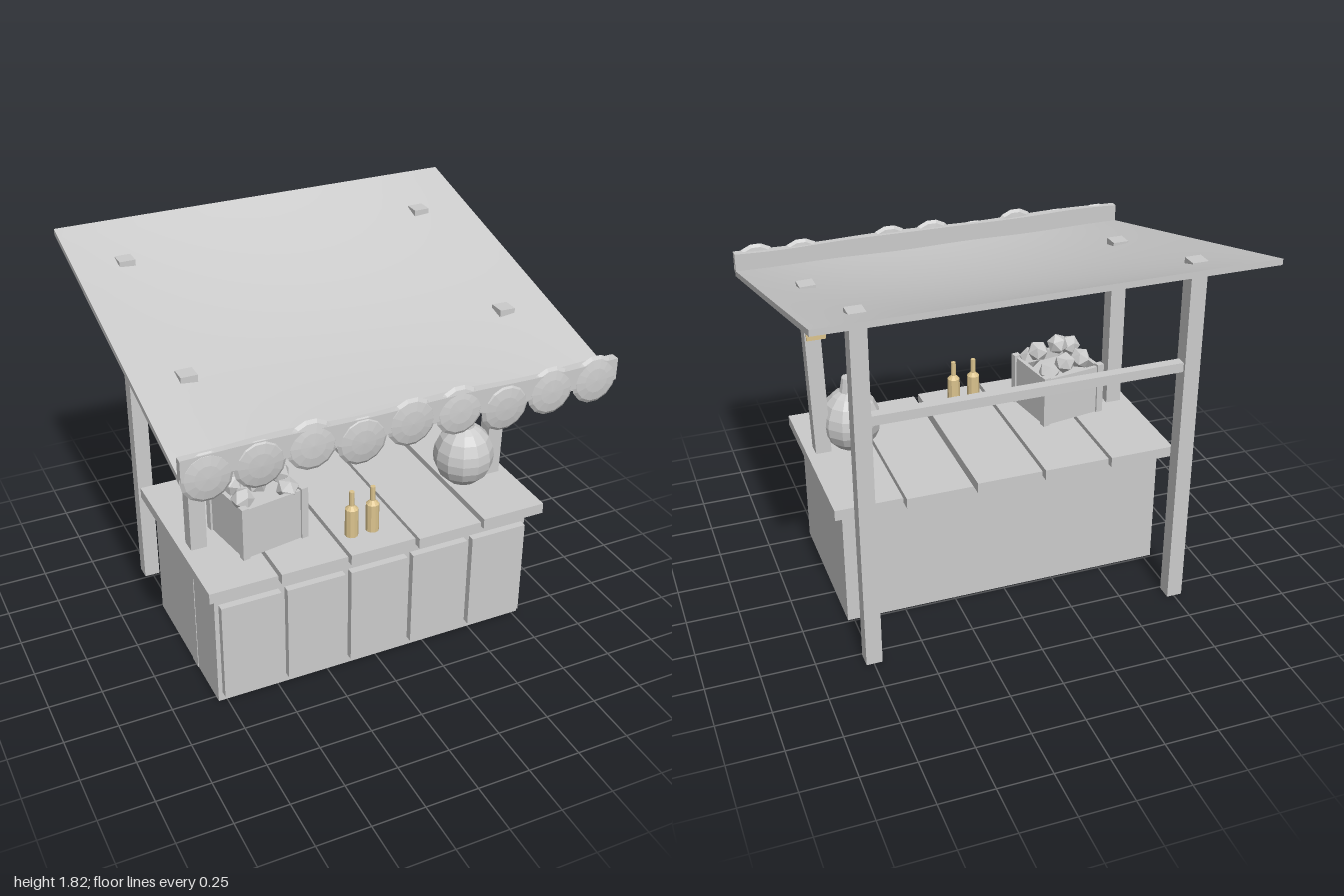
import * as THREE from 'three';

const grey = new THREE.MeshStandardMaterial({ color: 0xcccccc });
const greyFlat = new THREE.MeshStandardMaterial({ color: 0xcccccc, flatShading: true });
const tan = new THREE.MeshStandardMaterial({ color: 0xdcc48e, flatShading: true });

function add(parent, name, geometry, material, x = 0, y = 0, z = 0) {
  const mesh = new THREE.Mesh(geometry, material);
  mesh.name = name;
  mesh.position.set(x, y, z);
  parent.add(mesh);
  return mesh;
}

// Box given by its minimum and maximum corners
function slab(parent, name, [x0, y0, z0], [x1, y1, z1], material = grey) {
  return add(parent, name, new THREE.BoxGeometry(x1 - x0, y1 - y0, z1 - z0), material,
    (x0 + x1) / 2, (y0 + y1) / 2, (z0 + z1) / 2);
}

// Move each vertex of a geometry by a rule
function deform(geometry, rule) {
  const p = geometry.attributes.position;
  const v = new THREE.Vector3();
  for (let i = 0; i < p.count; i++) {
    rule(v.fromBufferAttribute(p, i));
    p.setXYZ(i, v.x, v.y, v.z);
  }
  geometry.computeVertexNormals();
  return geometry;
}

function buildCounter(parent) {
  const counter = new THREE.Group();
  counter.name = 'counter';
  parent.add(counter);
  slab(counter, 'counterBody', [-0.79, 0, -0.24], [0.78, 0.61, 0.535]);
  const plankStarts = [-0.835, -0.5, -0.165, 0.175, 0.51];
  const plankDrop = [0, 0, 0, 0.01, 0];
  for (let i = 0; i < 5; i++) {
    const x = -0.77 + i * 0.3125;
    slab(counter, 'frontPanel', [x, 0.045, 0.53], [x + 0.283, 0.538, 0.57]);
    const s = plankStarts[i], d = plankDrop[i];
    slab(counter, 'counterPlank', [s, 0.613 - d, -0.31], [s + 0.318, 0.665 - d, 0.61]);
  }
}

function buildFrame(parent) {
  const frame = new THREE.Group();
  frame.name = 'frame';
  parent.add(frame);
  slab(frame, 'backPost', [-0.79, 0, -0.585], [-0.715, 1.737, -0.51]);
  slab(frame, 'backPost', [0.71, 0, -0.585], [0.785, 1.737, -0.51]);
  slab(frame, 'frontPost', [-0.793, 0, 0.2], [-0.717, 1.53, 0.275]);
  const leaning = slab(frame, 'leaningFrontPost', [0.722, 0.57, 0.2], [0.797, 1.53, 0.275]);
  leaning.rotation.z = -0.028;
  slab(frame, 'crossBar', [-0.73, 1.215, -0.572], [0.73, 1.26, -0.525]);
  // Small lantern around the leaning post
  slab(frame, 'lantern', [0.706, 1.265, 0.19], [0.797, 1.4, 0.285], tan);
  slab(frame, 'lanternCap', [0.695, 1.4, 0.18], [0.812, 1.42, 0.298]);
}

function buildRoof(parent) {
  const roof = new THREE.Group();
  roof.name = 'roof';
  parent.add(roof);
  // Sloping cloth, sagging towards the middle
  const cloth = deform(new THREE.BoxGeometry(1.99, 0.028, 1.63, 24, 1, 24), (v) => {
    const sag = 0.08 * (1 - v.x * v.x) * Math.max(0, 1 - (v.z / 0.815) ** 2);
    v.z -= 0.015;
    v.y += 1.381 + (0.8 - v.z) * 0.2577 - sag;
  });
  add(roof, 'cloth', cloth, grey);
  // Wavy hem along the front edge
  const hem = deform(new THREE.BoxGeometry(1.99, 0.1, 0.04, 40, 2, 1), (v) => {
    if (v.z < 0) v.z -= 0.007 * Math.sin(v.x * 9);
    v.y += 1.435 + (v.y > 0 ? 0.004 * Math.sin(v.x * 7) : 0);
    v.z += 0.798;
  });
  add(roof, 'hem', hem, grey);
  // Scallops: flattened domes at uneven heights
  const dome = new THREE.SphereGeometry(0.112, 14, 6).rotateX(Math.PI / 2).scale(1, 1, 0.19);
  const heights = [1.383, 1.383, 1.415, 1.377, 1.41, 1.412, 1.373, 1.402, 1.407];
  heights.forEach((y, i) => {
    const scallop = add(roof, 'scallop', dome, greyFlat, -0.887 + i * 0.2217, y, 0.808);
    scallop.rotation.x = 0.06 * Math.sin(i * 2.3);
  });
}

function buildGoods(parent) {
  // Crate turned slightly, with corner posts and fruit
  const crate = new THREE.Group();
  crate.name = 'crate';
  crate.position.set(-0.468, 0.665, 0.26);
  crate.rotation.y = 0.16;
  parent.add(crate);
  for (const s of [-1, 1]) {
    const sideX = s * 0.15, sideZ = s * 0.14;
    slab(crate, 'crateSide', [sideX - 0.01, 0, -0.14], [sideX + 0.01, 0.25, 0.14]);
    slab(crate, 'crateEnd', [-0.15, 0, sideZ - 0.01], [0.15, 0.25, sideZ + 0.01]);
    for (const t of [-1, 1]) {
      slab(crate, 'cratePost', [s * 0.153 - 0.017, 0, t * 0.143 - 0.017],
        [s * 0.153 + 0.017, 0.262, t * 0.143 + 0.017]);
    }
  }
  slab(crate, 'crateFill', [-0.145, 0, -0.135], [0.145, 0.2, 0.135]);
  const fruit = new THREE.IcosahedronGeometry(0.054, 0);
  const fruitSpots = [
    [-0.125, 0.27, 0.09], [-0.035, 0.31, 0.06], [0.09, 0.31, 0.04],
    [-0.1, 0.265, -0.05], [0.01, 0.28, -0.08], [0.105, 0.255, -0.09], [0.1, 0.25, 0.1],
  ];
  fruitSpots.forEach(([x, y, z], i) => {
    add(crate, 'fruit', fruit, greyFlat, x, y, z).rotation.set(i * 0.7, i * 1.3, 0);
  });

  // Pair of bottles
  const bottleProfile = [[0, 0], [0.031, 0], [0.031, 0.14], [0.012, 0.158], [0.012, 0.23], [0, 0.23]]
    .map(([r, y]) => new THREE.Vector2(r, y));
  const bottle = new THREE.LatheGeometry(bottleProfile, 10);
  for (const x of [-0.094, 0.01]) add(parent, 'bottle', bottle, tan, x, 0.665, 0.46);

  // Round jar with a tapering neck
  const jarProfile = [[0, 0], [0.075, 0], [0.12, 0.045], [0.14, 0.09], [0.145, 0.135], [0.138, 0.18],
    [0.115, 0.232], [0.08, 0.268], [0.046, 0.287], [0.033, 0.357], [0, 0.357]]
    .map(([r, y]) => new THREE.Vector2(r, y));
  add(parent, 'jar', new THREE.LatheGeometry(jarProfile, 12), greyFlat, 0.6, 0.665, 0.247);
}

export function createModel() {
  const model = new THREE.Group();
  model.name = 'marketStall';
  buildCounter(model);
  buildFrame(model);
  buildRoof(model);
  buildGoods(model);
  return model;
}
